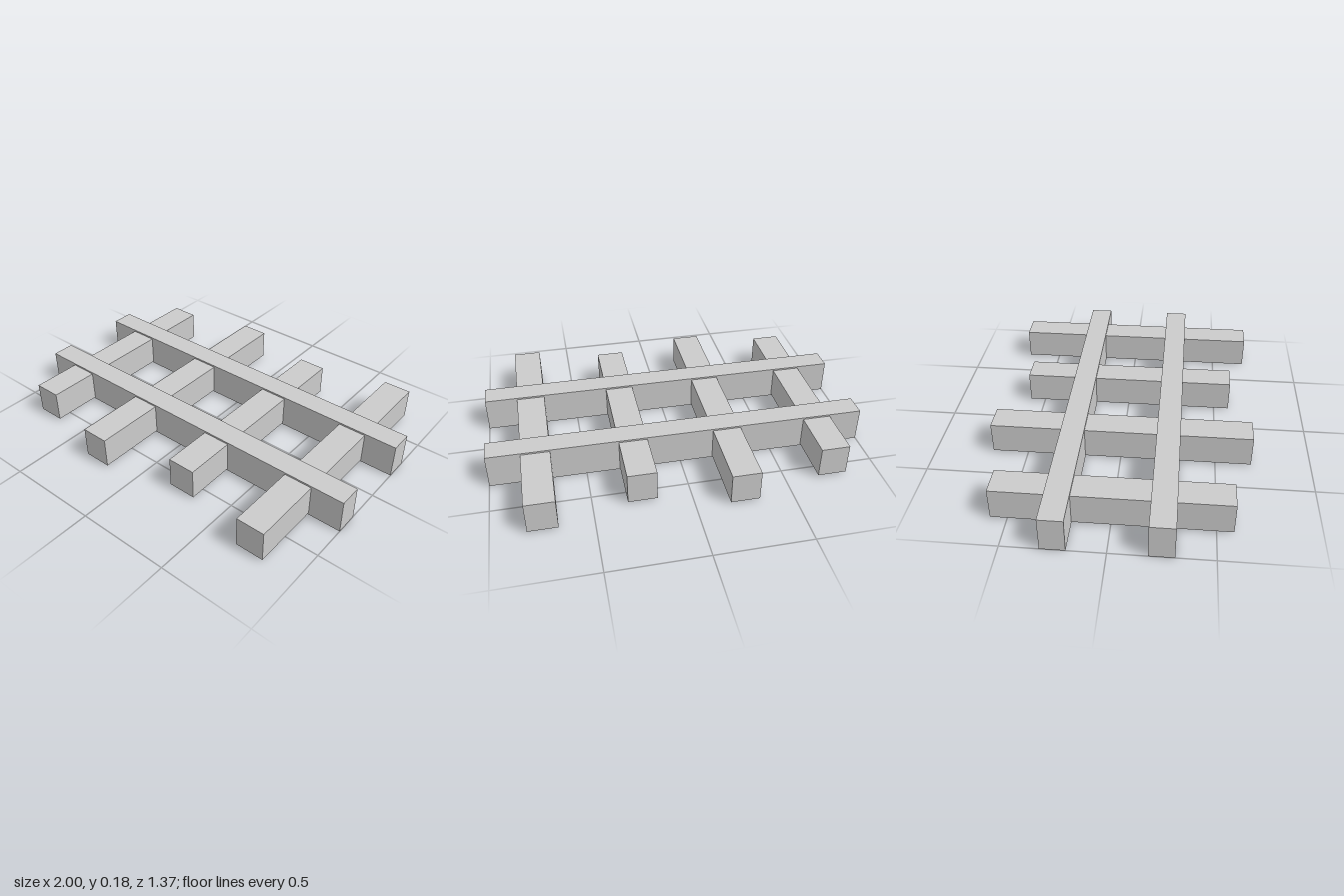
import * as THREE from 'three';

export function createModel() {
  const model = new THREE.Group();
  model.name = 'trackSection';
  const material = new THREE.MeshStandardMaterial({ color: 0xcccccc, flatShading: true });

  const height = 0.183;
  const addBeam = (name, w, h, d, x, z) => {
    const beam = new THREE.Mesh(new THREE.BoxGeometry(w, h, d), material);
    beam.name = name;
    beam.position.set(x, height / 2, z);
    model.add(beam);
  };

  // Two long rails, full height
  addBeam('frontRail', 2, height, 0.123, 0, 0.25);
  addBeam('backRail', 2, height, 0.123, 0, -0.25);

  // Four crossbeams, alternately short and long, slightly thinner than the rails
  [-0.75, -0.25, 0.25, 0.75].forEach((x, i) => {
    const length = i % 2 ? 1.374 : 1.164;
    addBeam(`crossbeam${i + 1}`, 0.15, 0.165, length, x, 0);
  });

  return model;
}
